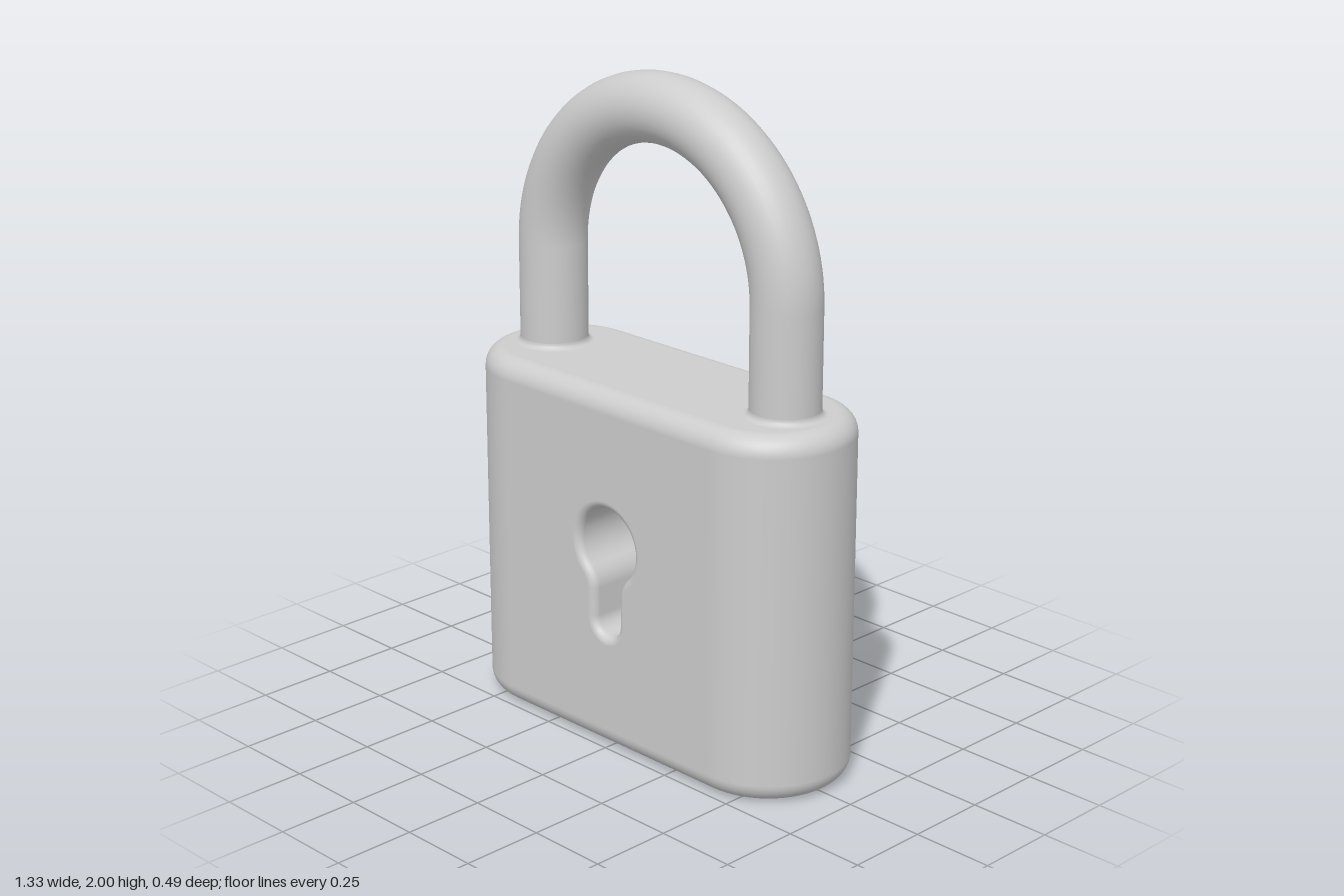
import * as THREE from 'three';

const H = 1.107, R = 0.245, C = 0.42, B = 0.06; // body height, end radius, end centre, edge rounding
const LEG_X = 0.475, TUBE = 0.1025, ARCH_Y = 1.42;

// Skin rows of [x, y, z, nx, ny, nz] into a smooth surface
function loft(rows, closed) {
  const n = rows[0].length, pos = [], nor = [], idx = [];
  for (const row of rows) for (const v of row) {
    pos.push(v[0], v[1], v[2]);
    nor.push(v[3], v[4], v[5]);
  }
  for (let i = 0; i < rows.length - 1; i++) {
    for (let j = 0; j < (closed ? n : n - 1); j++) {
      const k = (j + 1) % n;
      const a = i * n + j, b = i * n + k, c = a + n, d = b + n;
      idx.push(a, b, d, a, d, c);
    }
  }
  const g = new THREE.BufferGeometry();
  g.setAttribute('position', new THREE.Float32BufferAttribute(pos, 3));
  g.setAttribute('normal', new THREE.Float32BufferAttribute(nor, 3));
  g.setIndex(idx);
  return g;
}

// Half circle round one end of the body; tilt is the slope of the normal
function endArc(side, r, y, tilt) {
  const out = [];
  for (let j = 0; j <= 32; j++) {
    const a = -Math.PI / 2 + Math.PI * j / 32 + (side < 0 ? Math.PI : 0);
    const x = Math.cos(a), z = -Math.sin(a), k = Math.cos(tilt);
    out.push([side * C + r * x, y, r * z, x * k, Math.sin(tilt), z * k]);
  }
  return out;
}
const stadium = (r, y, tilt) => [...endArc(1, r, y, tilt), ...endArc(-1, r, y, tilt)];

// Rounded edge band plus flat cap, for the top or the bottom
function capGeometry(top) {
  const rows = [], s = top ? 1 : -1;
  for (let i = 0; i <= 10; i++) {
    const t = Math.PI / 2 * i / 10;
    const y = top ? H - B + B * Math.sin(t) : B - B * Math.sin(t);
    rows.push(stadium(R - B + B * Math.cos(t), y, s * t));
  }
  rows.push(stadium(0, top ? H : 0, s * Math.PI / 2));
  return loft(top ? rows : rows.reverse(), true);
}

// Keyhole outline, counter-clockwise, as points with outward normals
function keyholeOutline() {
  const s = new THREE.Shape();
  s.moveTo(0.05, 0.405);
  s.lineTo(0.05, 0.49);
  s.quadraticCurveTo(0.05, 0.528, 0.081, 0.559);
  s.absarc(0, 0.64, 0.115, -Math.PI / 4, Math.PI * 1.25, false);
  s.quadraticCurveTo(-0.05, 0.528, -0.05, 0.49);
  s.lineTo(-0.05, 0.405);
  s.absarc(0, 0.405, 0.05, Math.PI, Math.PI * 2, false);
  const raw = s.getPoints(20), pts = [];
  for (const p of raw) {
    if (pts.every(q => q.distanceTo(p) > 0.001)) pts.push(p);
  }
  return pts.map((p, i) => {
    const a = pts[(i + pts.length - 1) % pts.length], b = pts[(i + 1) % pts.length];
    const u = p.clone().sub(a).normalize().add(b.clone().sub(p).normalize()).normalize();
    return { x: p.x, y: p.y, nx: u.y, ny: -u.x };
  });
}

export function createModel() {
  const root = new THREE.Group();
  root.name = 'padlock';
  const metal = new THREE.MeshStandardMaterial({ color: 0xcccccc });
  metal.name = 'light grey metal';

  const body = new THREE.Group();
  body.name = 'body';
  const shackle = new THREE.Group();
  shackle.name = 'shackle';
  root.add(body, shackle);
  const add = (parent, name, geometry) => {
    const m = new THREE.Mesh(geometry, metal);
    m.name = name;
    parent.add(m);
    return m;
  };

  // Body caps and rounded ends
  add(body, 'bodyTop', capGeometry(true));
  add(body, 'bodyBottom', capGeometry(false));
  for (const side of [1, -1]) {
    add(body, side > 0 ? 'leftEnd' : 'rightEnd',
      loft([endArc(side, R, B, 0), endArc(side, R, H - B, 0)], false));
  }

  // Flat faces pierced by the keyhole
  const fillet = 0.025, outline = keyholeOutline();
  const face = new THREE.Shape([
    new THREE.Vector2(-C, B), new THREE.Vector2(C, B),
    new THREE.Vector2(C, H - B), new THREE.Vector2(-C, H - B),
  ]);
  face.holes.push(new THREE.Path(outline.map(p =>
    new THREE.Vector2(p.x + p.nx * fillet, p.y + p.ny * fillet))));
  const faceGeometry = new THREE.ShapeGeometry(face);
  add(body, 'frontFace', faceGeometry).position.z = R;
  const back = add(body, 'backFace', faceGeometry);
  back.position.z = -R;
  back.rotation.y = Math.PI;

  // Keyhole tunnel with softened rims
  const rows = [];
  for (const s of [1, -1]) {
    for (let i = 0; i <= 6; i++) {
      const t = Math.PI / 2 * (s > 0 ? i : 6 - i) / 6;
      const off = fillet * (1 - Math.sin(t)), z = s * (R - fillet * (1 - Math.cos(t)));
      rows.push(outline.map(p => [p.x + p.nx * off, p.y + p.ny * off, z,
        -p.nx * Math.sin(t), -p.ny * Math.sin(t), s * Math.cos(t)]));
    }
  }
  add(body, 'keyhole', loft(rows, true));

  // Shackle arch, legs and the small flare at each foot
  add(shackle, 'arch', new THREE.TorusGeometry(LEG_X, TUBE, 32, 64, Math.PI)).position.y = ARCH_Y;
  const legGeometry = new THREE.CylinderGeometry(TUBE, TUBE, ARCH_Y - H + 0.02, 32, 1, true);
  const flare = 0.018, profile = [];
  for (let i = 0; i <= 6; i++) {
    const t = Math.PI / 2 * i / 6;
    profile.push(new THREE.Vector2(TUBE + flare * (1 - Math.sin(t)), H + flare * (1 - Math.cos(t))));
  }
  const flareGeometry = new THREE.LatheGeometry(profile, 32);
  for (const side of [1, -1]) {
    const name = side > 0 ? 'left' : 'right';
    add(shackle, name + 'Leg', legGeometry).position.set(side * LEG_X, (ARCH_Y + H - 0.02) / 2, 0);
    add(shackle, name + 'LegFlare', flareGeometry).position.x = side * LEG_X;
  }
  return root;
}
